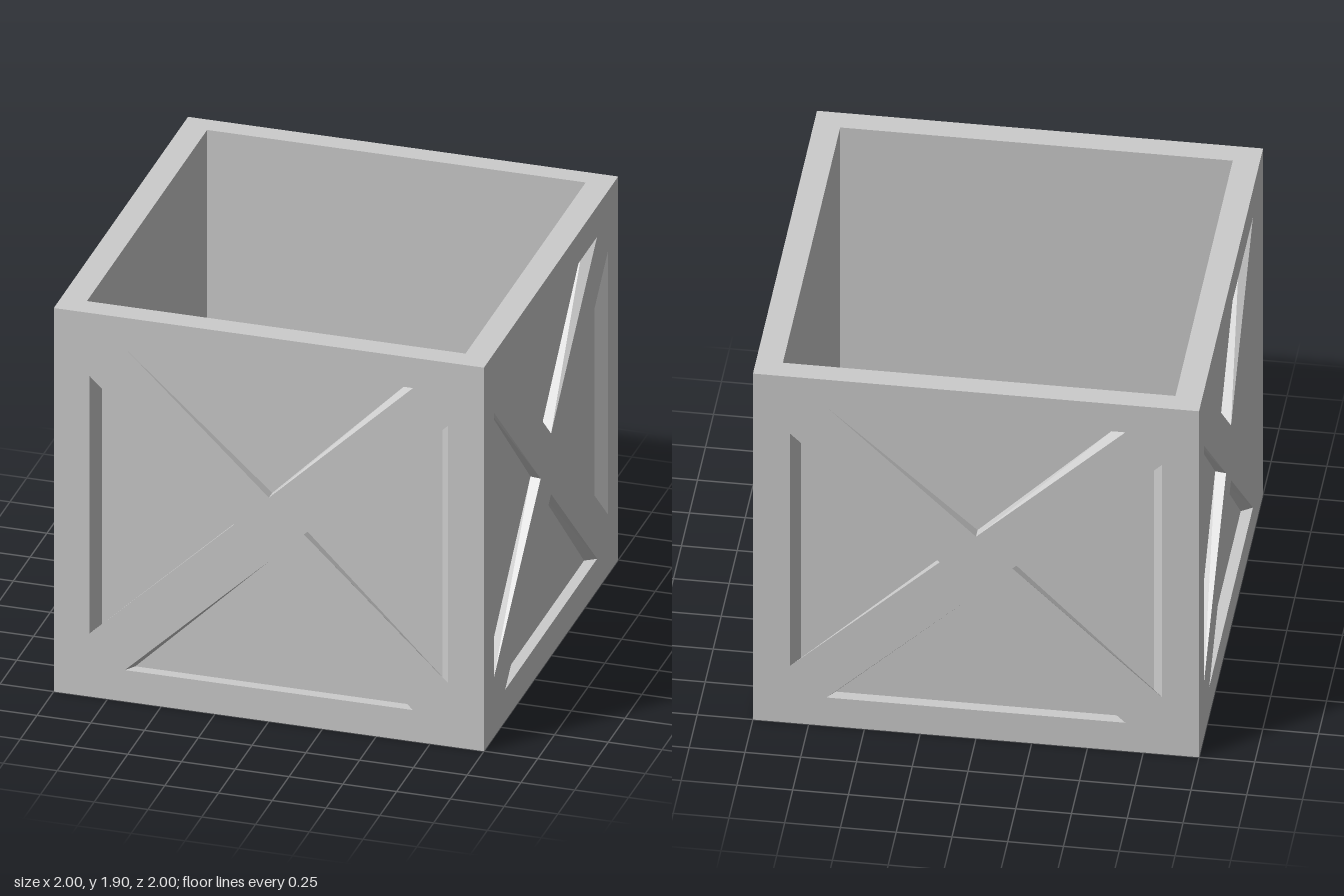
import * as THREE from 'three';

const H = 1.9;        // crate height
const TAPER = 0.95;   // recess floors shrink toward the middle and sit at 0.95
const material = new THREE.MeshStandardMaterial({ color: 0xcccccc });

function add(parent, name, geometry) {
  const mesh = new THREE.Mesh(geometry, material);
  mesh.name = name;
  parent.add(mesh);
  return mesh;
}

// Hollow with flat facets: inward-facing walls from rim to base, plus its floor.
// Corners run counter-clockwise as seen looking into the hollow.
function pit(rim, base) {
  const v = [];
  const poly = (p) => {
    for (let i = 1; i < p.length - 1; i++) v.push(...p[0], ...p[i], ...p[i + 1]);
  };
  rim.forEach((a, i) => {
    const j = (i + 1) % rim.length;
    poly([a, rim[j], base[j], base[i]]);
  });
  poly(base);
  const g = new THREE.BufferGeometry();
  g.setAttribute('position', new THREE.Float32BufferAttribute(v, 3));
  g.computeVertexNormals();
  return g;
}

const path = (points) => points.map(([x, y]) => new THREE.Vector2(x, y));
const rectangle = (x0, y0, x1, y1) => [[x0, y0], [x1, y0], [x1, y1], [x0, y1]];

// One side of the crate: frame with a cross brace left between four recesses
function createSide({ halfTop, topApex, sideX, sideY, sideApex }) {
  const side = new THREE.Group();
  const mid = H / 2;
  const triangles = [
    [[-halfTop, 1.75], [0, mid + topApex], [halfTop, 1.75]],
    [[halfTop, 0.155], [0, mid - topApex], [-halfTop, 0.155]],
    [[sideX, mid + sideY], [sideApex, mid], [sideX, mid - sideY]],
    [[-sideX, mid - sideY], [-sideApex, mid], [-sideX, mid + sideY]],
  ];
  const face = new THREE.Shape(path(rectangle(-1, 0, 1, H)));
  triangles.forEach((t) => face.holes.push(new THREE.Path(path(t))));
  add(side, 'crossBracedFrame', new THREE.ShapeGeometry(face)).position.z = 1;

  triangles.forEach((t) => {
    const rim = t.map(([x, y]) => [x, y, 1]);
    const base = t.map(([x, y]) => [x * TAPER, y, TAPER]);
    add(side, 'triangularRecess', pit(rim, base));
  });
  return side;
}

export function createModel() {
  const crate = new THREE.Group();
  crate.name = 'openCrate';

  // Four braced sides; the front/back and left/right pairs differ slightly
  const frontBack = { halfTop: 0.67, topApex: 0.158, sideX: 0.833, sideY: 0.637, sideApex: 0.163 };
  const leftRight = { halfTop: 0.685, topApex: 0.15, sideX: 0.847, sideY: 0.652, sideApex: 0.155 };
  ['frontSide', 'leftSide', 'backSide', 'rightSide'].forEach((name, i) => {
    const side = createSide(i % 2 ? leftRight : frontBack);
    side.name = name;
    side.rotation.y = i * Math.PI / 2;
    crate.add(side);
  });

  // Flat rim around the opening
  const opening = rectangle(-0.88, -0.89, 0.88, 0.9);
  const rimShape = new THREE.Shape(path(rectangle(-1, -1, 1, 1)));
  rimShape.holes.push(new THREE.Path(path(opening)));
  const rim = add(crate, 'topRim', new THREE.ShapeGeometry(rimShape));
  rim.rotation.x = -Math.PI / 2;
  rim.position.y = H;

  // Inner walls and floor
  const level = (y) => opening.map(([x, d]) => [x, y, -d]);
  add(crate, 'interior', pit(level(H), level(0.11)));

  // Underside
  add(crate, 'underside', new THREE.PlaneGeometry(2, 2)).rotation.x = Math.PI / 2;

  return crate;
}
